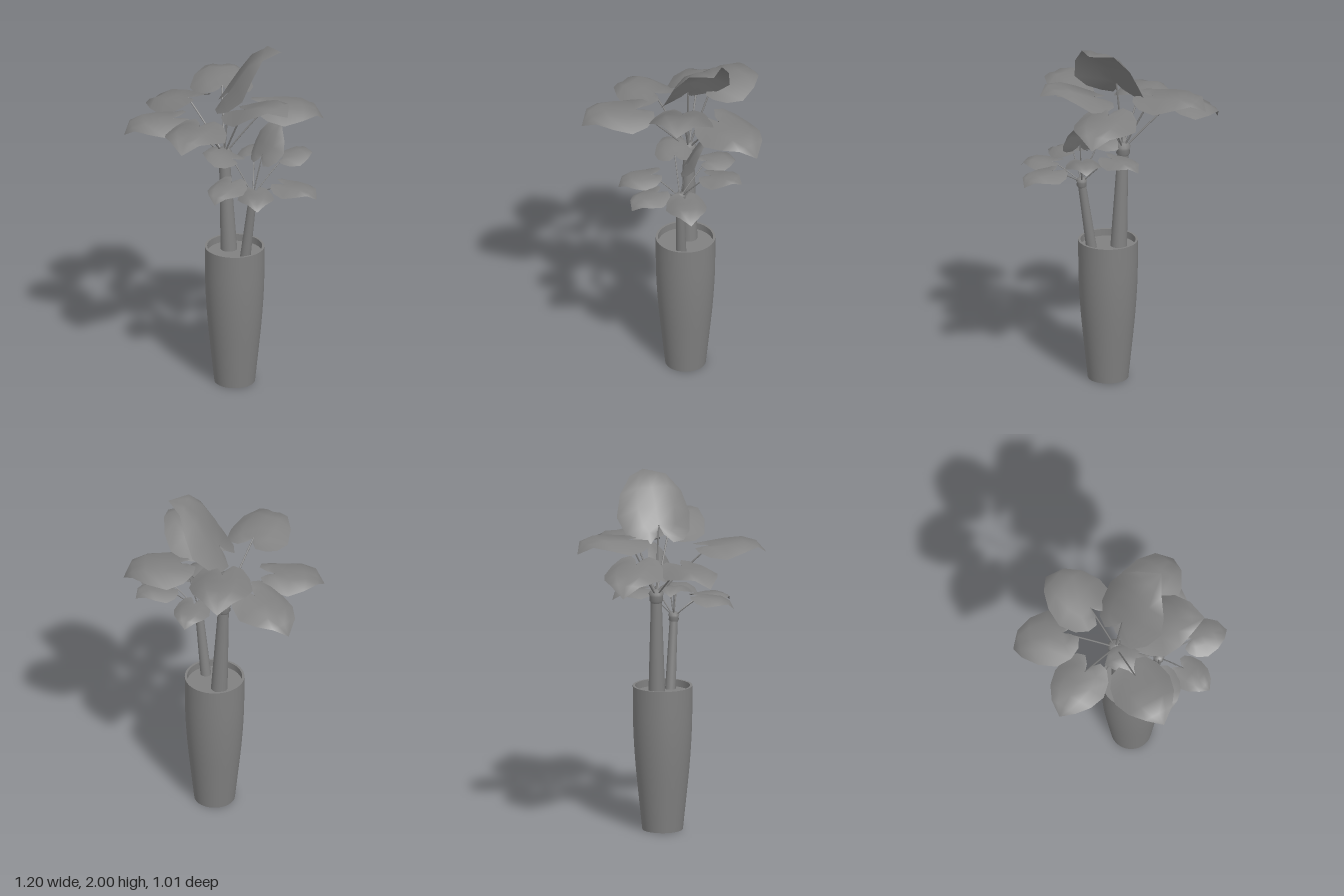
import * as THREE from 'three';
import { mergeVertices } from 'three/addons/utils/BufferGeometryUtils.js';

const material = new THREE.MeshStandardMaterial({ color: 0x808080, side: THREE.DoubleSide });
const UP = new THREE.Vector3(0, 1, 0);
const vec = (p) => new THREE.Vector3(...p);

function addMesh(parent, name, geometry) {
  const mesh = new THREE.Mesh(geometry, material);
  mesh.name = name;
  parent.add(mesh);
  return mesh;
}

// Half outline of a heart-shaped leaf: [along midrib, sideways], 0 = notch, 1 = tip
const OUTLINE = [[-0.15, 0.05], [-0.29, 0.17], [-0.24, 0.34], [-0.05, 0.48],
  [0.25, 0.55], [0.55, 0.46], [0.8, 0.27], [1, 0]];

// Height of the blade: arched lengthwise, a valley at the midrib, drooping edges
function bladeLift(s, w) {
  const arch = s < 0 ? 0.3 * s : 0.36 * s * (1 - s ** 3);
  const valley = 0.5 * Math.abs(w) * (1 - 0.35 * Math.max(s, 0));
  return arch + valley - 1.46 * w * w;
}

// Leaf blade from notch to tip
function leafGeometry(notch, tip) {
  const u = tip.clone().sub(notch);
  const length = u.length();
  u.normalize();
  const side = UP.clone().cross(u).normalize();
  const normal = u.clone().cross(side);
  const positions = [], index = [];
  const columns = [-1, -0.5, 0, 0.5, 1];
  OUTLINE.forEach(([edgeS, edgeW], i) => {
    columns.forEach((c, j) => {
      const s = THREE.MathUtils.lerp(Math.max(0, edgeS), edgeS, Math.abs(c));
      const w = edgeW * c;
      const p = notch.clone()
        .addScaledVector(u, s * length)
        .addScaledVector(side, w * length)
        .addScaledVector(normal, bladeLift(s, w) * length);
      positions.push(p.x, p.y, p.z);
      if (i < OUTLINE.length - 1 && j < columns.length - 1) {
        const a = i * columns.length + j, b = a + columns.length;
        index.push(a, b, a + 1, b, b + 1, a + 1);
      }
    });
  });
  let geometry = new THREE.BufferGeometry();
  geometry.setAttribute('position', new THREE.Float32BufferAttribute(positions, 3));
  geometry.setIndex(index);
  geometry = mergeVertices(geometry);
  geometry.computeVertexNormals();
  return geometry;
}

// Tapered cylinder between two points
function limb(parent, name, from, to, rBottom, rTop) {
  const dir = to.clone().sub(from);
  const mesh = addMesh(parent, name, new THREE.CylinderGeometry(rTop, rBottom, dir.length(), 20));
  mesh.position.copy(from).addScaledVector(dir, 0.5);
  mesh.quaternion.setFromUnitVectors(UP, dir.normalize());
}

function plant({ name, base, top, rBase, rTop, stalk, leaves }) {
  const group = new THREE.Group();
  group.name = name;
  const crown = vec(top);
  limb(group, 'trunk', vec(base), crown, rBase, rTop);

  // Collar the leaf stalks grow from
  const r = rTop * 1.3;
  const profile = [[rTop * 0.9, -r], [r, -r * 0.5], [r * 0.95, r * 0.1], [r * 1.1, r * 0.5], [r * 0.7, r], [0, r * 1.1]]
    .map(([x, y]) => new THREE.Vector2(x, y));
  addMesh(group, 'collar', new THREE.LatheGeometry(profile, 14)).position.copy(crown);

  // Leaves, each on a thin bent stalk
  for (const [n, t] of leaves) {
    const notch = vec(n), tip = vec(t);
    const bend = crown.clone().lerp(notch, 0.5);
    bend.y += 0.015;
    const curve = new THREE.QuadraticBezierCurve3(crown, bend, notch);
    addMesh(group, 'leafStalk', new THREE.TubeGeometry(curve, 8, stalk, 6));
    addMesh(group, 'leaf', leafGeometry(notch, tip));
  }
  return group;
}

export function createModel() {
  const model = new THREE.Group();
  model.name = 'pottedPlant';

  // Tall tapering pot with a thin rim, and soil inside
  const pot = new THREE.Group();
  pot.name = 'pot';
  pot.position.set(0.057, 0, -0.057);
  model.add(pot);
  const outer = new THREE.SplineCurve([[0.113, 0], [0.134, 0.2], [0.153, 0.4], [0.164, 0.6], [0.166, 0.82]]
    .map(([x, y]) => new THREE.Vector2(x, y))).getPoints(16);
  addMesh(pot, 'potWall', new THREE.LatheGeometry(outer, 48));
  const rim = addMesh(pot, 'potRim', new THREE.RingGeometry(0.153, 0.166, 48));
  rim.rotation.x = -Math.PI / 2;
  rim.position.y = 0.82;
  const inner = addMesh(pot, 'potInside', new THREE.CylinderGeometry(0.153, 0.153, 0.045, 48, 1, true));
  inner.position.y = 0.7975;
  const soil = addMesh(pot, 'soil', new THREE.CircleGeometry(0.153, 48));
  soil.rotation.x = -Math.PI / 2;
  soil.position.y = 0.78;
  const bottom = addMesh(pot, 'potBottom', new THREE.CircleGeometry(0.113, 48));
  bottom.rotation.x = Math.PI / 2;

  // Leaves are listed as [notch, tip]
  model.add(plant({
    name: 'tallPlant', base: [0, 0.76, -0.072], top: [-0.03, 1.345, -0.065],
    rBase: 0.047, rTop: 0.03, stalk: 0.005,
    leaves: [
      [[-0.325, 1.595, -0.085], [-0.6, 1.46, -0.07]],
      [[-0.16, 1.69, -0.185], [-0.385, 1.64, -0.41]],
      [[-0.22, 1.58, 0.15], [-0.385, 1.5, 0.37]],
      [[0.055, 1.64, 0.225], [0.185, 1.595, 0.51]],
      [[0.135, 1.64, -0.25], [0.335, 1.54, -0.485]],
      [[0.14, 1.68, -0.05], [0.467, 1.73, -0.05]],
      [[0.01, 1.745, -0.065], [0.245, 2.0, -0.235]],
    ],
  }));
  model.add(plant({
    name: 'shortPlant', base: [0.148, 0.76, -0.042], top: [0.21, 1.175, -0.042],
    rBase: 0.03, rTop: 0.022, stalk: 0.0035,
    leaves: [
      [[0.405, 1.29, -0.09], [0.6, 1.24, -0.145]],
      [[0.34, 1.28, 0.075], [0.47, 1.235, 0.2]],
      [[0.195, 1.305, 0.12], [0.24, 1.24, 0.3]],
      [[0.09, 1.38, 0], [-0.1, 1.365, 0.04]],
      [[0.09, 1.35, -0.18], [-0.01, 1.3, -0.33]],
      [[0.28, 1.375, -0.22], [0.33, 1.36, -0.4]],
      [[0.24, 1.425, -0.09], [0.25, 1.58, -0.235]],
    ],
  }));
  return model;
}
